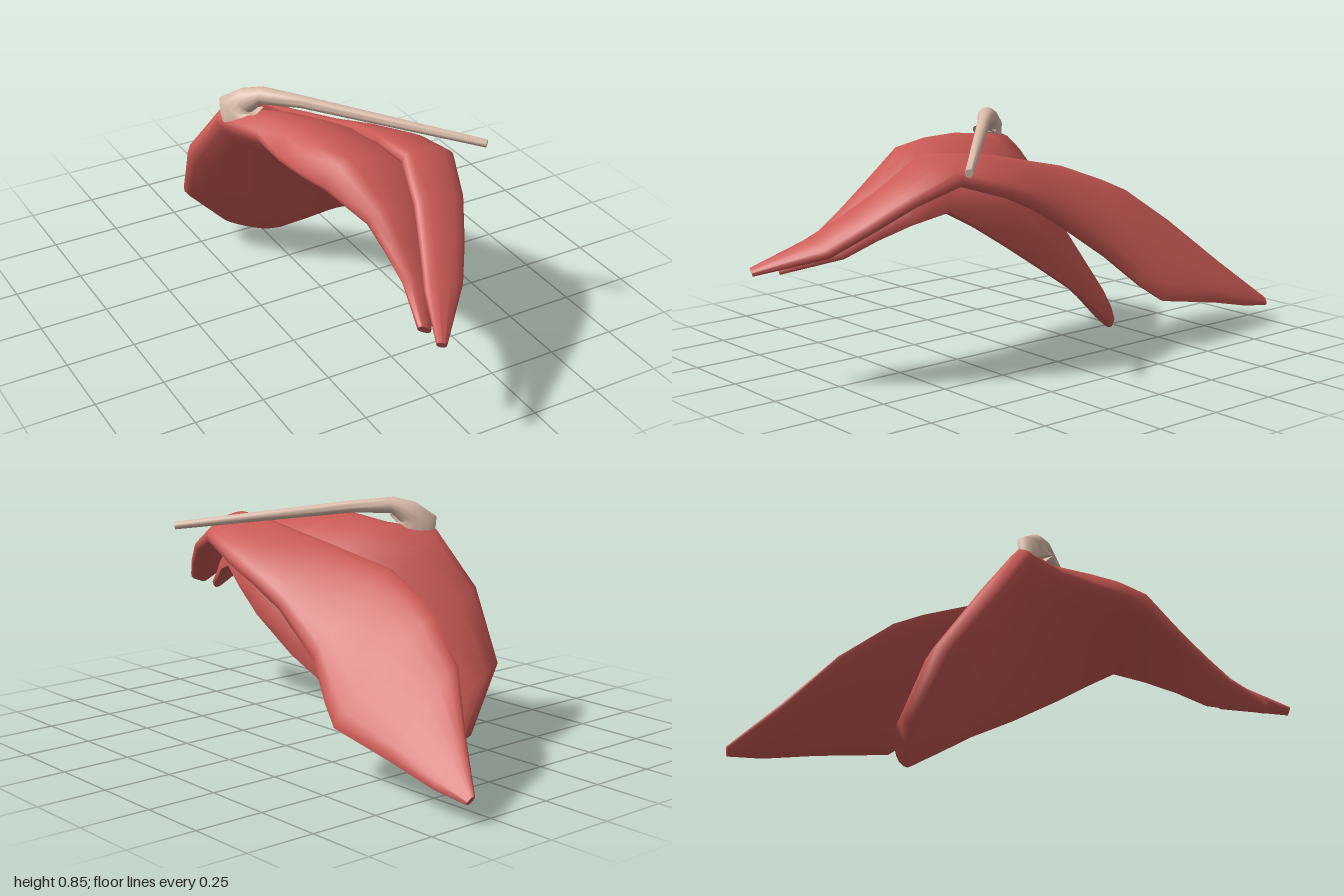
import * as THREE from 'three';
import { toCreasedNormals } from 'three/addons/utils/BufferGeometryUtils.js';

// Lofts lens-shaped sections. Each station: left edge xyz, right edge xyz, bulge above, bulge below.
// skew moves the crown towards the left edge; blunt below 1 fattens the edges.
function loft(stations, skew, blunt, sides = 18) {
  const n = stations.length - 1;
  const L = stations.map((s) => new THREE.Vector3(s[0], s[1], s[2]));
  const R = stations.map((s) => new THREE.Vector3(s[3], s[4], s[5]));
  const C = L.map((p, i) => p.clone().lerp(R[i], 0.5));
  const pos = [], index = [];
  for (let i = 0; i <= n; i++) {
    const along = C[Math.min(i + 1, n)].clone().sub(C[Math.max(i - 1, 0)]);
    const up = R[i].clone().sub(L[i]).cross(along).normalize();
    for (let j = 0; j < sides; j++) {
      const a = (j / sides) * Math.PI * 2;
      const u = Math.pow((1 - Math.cos(a)) / 2, skew);
      const s = Math.sin(a);
      const h = Math.sign(s) * Math.pow(Math.abs(s), blunt);
      const p = L[i].clone().lerp(R[i], u).addScaledVector(up, h * stations[i][h > 0 ? 6 : 7]);
      pos.push(p.x, p.y, p.z);
    }
  }
  for (let i = 0; i < n; i++) {
    for (let j = 0; j < sides; j++) {
      const k = (j + 1) % sides;
      const a = i * sides + j, b = i * sides + k;
      index.push(a, b, a + sides, b, b + sides, a + sides);
    }
  }
  // End caps
  const first = pos.length / 3, last = first + 1, end = n * sides;
  pos.push(...C[0].toArray(), ...C[n].toArray());
  for (let j = 0; j < sides; j++) {
    const k = (j + 1) % sides;
    index.push(first, k, j, last, end + j, end + k);
  }
  const g = new THREE.BufferGeometry();
  g.setAttribute('position', new THREE.Float32BufferAttribute(pos, 3));
  g.setIndex(index);
  return toCreasedNormals(g, 1.1);
}

// Oval tendon section, its width turned by an angle in the ground plane
function rod(x, y, z, width, height, angle = Math.PI / 4) {
  const dx = width * Math.cos(angle), dz = width * Math.sin(angle);
  return [x - dx, y, z + dz, x + dx, y, z - dz, height, height];
}

export function createModel() {
  const group = new THREE.Group();
  const muscleRed = new THREE.MeshStandardMaterial({ color: 0xcb5a55 });
  muscleRed.name = 'muscle red';
  const tendonBeige = new THREE.MeshStandardMaterial({ color: 0xdabba9 });
  tendonBeige.name = 'tendon beige';

  const add = (name, geometry, material) => {
    const mesh = new THREE.Mesh(geometry, material);
    mesh.name = name;
    group.add(mesh);
  };

  // Long upper lobe, from the front tip to the pointed rear end
  add('upperLobe', loft([
    [-0.145, 0.41, 0.99, -0.115, 0.395, 1.0, 0.012, 0.012],
    [-0.085, 0.485, 0.82, 0.06, 0.46, 0.82, 0.025, 0.025],
    [-0.03, 0.56, 0.7, 0.135, 0.535, 0.71, 0.03, 0.025],
    [0.02, 0.645, 0.58, 0.21, 0.62, 0.58, 0.035, 0.025],
    [0.05, 0.74, 0.45, 0.265, 0.68, 0.43, 0.045, 0.025],
    [0.055, 0.73, 0.28, 0.3, 0.62, 0.25, 0.045, 0.025],
    [0.045, 0.71, 0.14, 0.29, 0.56, 0.12, 0.045, 0.028],
    [0.01, 0.68, 0.0, 0.275, 0.49, 0.0, 0.045, 0.03],
    [-0.03, 0.63, -0.24, 0.29, 0.35, -0.2, 0.045, 0.03],
    [0.0, 0.565, -0.42, 0.34, 0.235, -0.32, 0.043, 0.03],
    [0.025, 0.52, -0.52, 0.37, 0.175, -0.4, 0.04, 0.03],
    [0.09, 0.39, -0.69, 0.368, 0.125, -0.67, 0.03, 0.025],
    [0.21, 0.23, -0.845, 0.362, 0.08, -0.86, 0.02, 0.018],
    [0.32, 0.085, -1.0, 0.345, 0.06, -0.99, 0.008, 0.008],
  ], 1, 0.78), muscleRed);

  // Broad lower lobe, ending in a blunt slanted edge
  add('lowerLobe', loft([
    [-0.15, 0.41, 0.89, -0.11, 0.385, 0.9, 0.014, 0.012],
    [-0.12, 0.49, 0.75, 0.02, 0.435, 0.73, 0.03, 0.018],
    [-0.125, 0.55, 0.65, 0.07, 0.49, 0.63, 0.045, 0.02],
    [-0.135, 0.61, 0.55, 0.13, 0.54, 0.53, 0.065, 0.025],
    [-0.2, 0.675, 0.38, 0.18, 0.575, 0.42, 0.12, 0.03],
    [-0.235, 0.69, 0.28, 0.205, 0.515, 0.32, 0.145, 0.032],
    [-0.25, 0.695, 0.15, 0.22, 0.435, 0.2, 0.165, 0.035],
    [-0.25, 0.715, 0.0, 0.21, 0.32, 0.02, 0.135, 0.045],
    [-0.32, 0.72, -0.165, 0.17, 0.21, -0.16, 0.085, 0.05],
    [-0.378, 0.525, -0.3, 0.135, 0.11, -0.3, 0.075, 0.05],
    [-0.33, 0.285, -0.46, 0.075, 0.015, -0.43, 0.065, 0.04],
    [-0.15, 0.075, -0.515, 0.035, 0.0, -0.46, 0.05, 0.02],
  ], 1.3, 0.85), muscleRed);

  // Thin tendon rod, flaring into a tilted foot on the lower lobe
  add('tendon', loft([
    rod(0.365, 0.735, 0.485, 0.014, 0.014),
    rod(0.13, 0.773, 0.262, 0.018, 0.018),
    rod(-0.1, 0.81, 0.042, 0.023, 0.022),
    rod(-0.2, 0.816, -0.055, 0.034, 0.03, 0.7),
    rod(-0.242, 0.79, -0.095, 0.04, 0.045, 0.6),
    rod(-0.262, 0.765, -0.115, 0.044, 0.075, 0.53),
    rod(-0.255, 0.735, -0.1, 0.046, 0.095, 0.53),
  ], 1, 1, 16), tendonBeige);

  return group;
}
